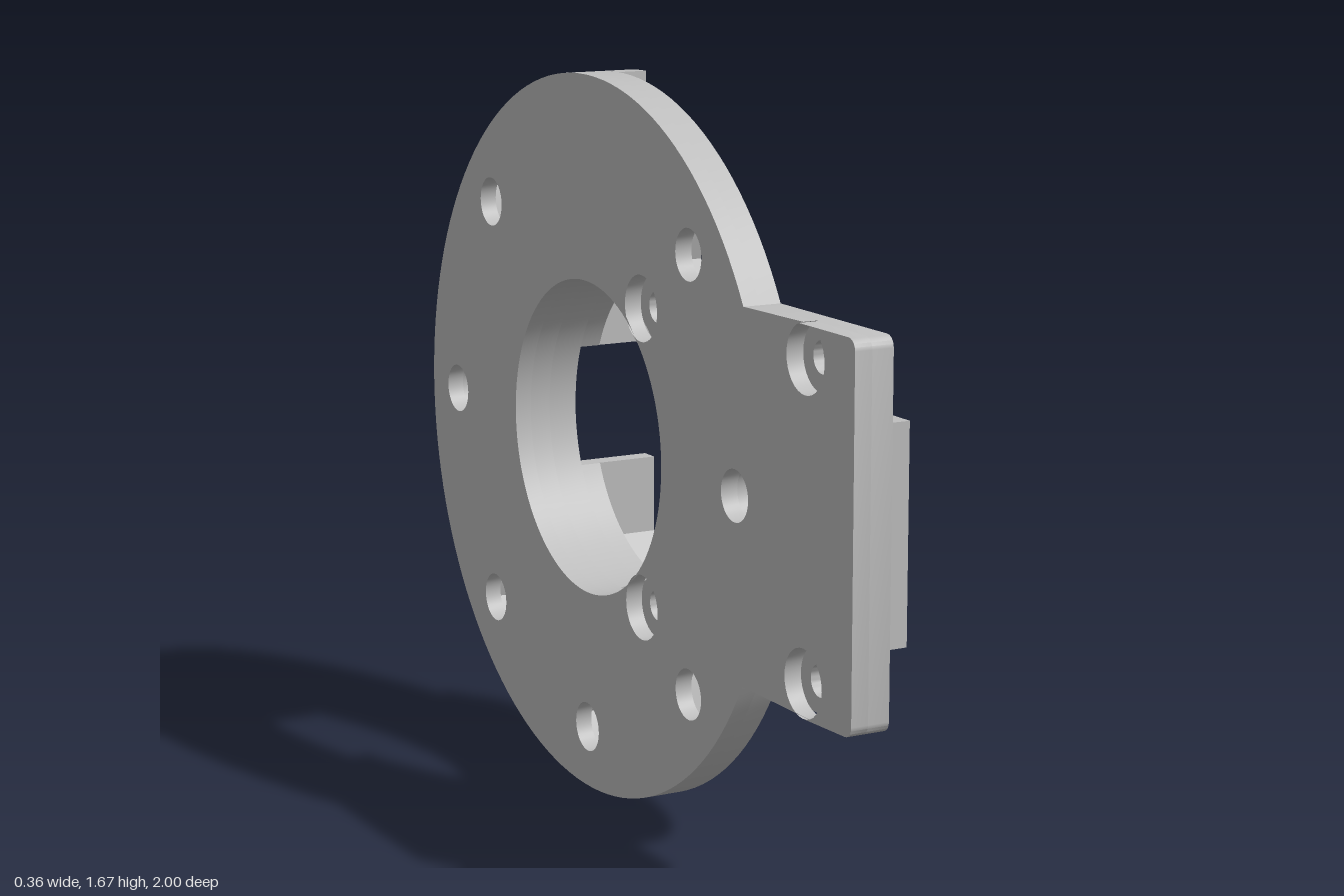
import * as THREE from 'three';
import { toCreasedNormals } from 'three/addons/utils/BufferGeometryUtils.js';

// Profiles are drawn around the ring centre: first axis points to the back (-z), second up.
const R = 0.833, BORE = 0.365, BOLT = 0.69, PIN = 0.058;
const rad = THREE.MathUtils.degToRad;
const V = (u, v) => new THREE.Vector2(u, v);

function arc(r, a0, a1, n, cu = 0, cv = 0) {
  const pts = [];
  for (let i = 0; i <= n; i++) {
    const a = rad(a0 + (a1 - a0) * i / n);
    pts.push(V(cu + r * Math.cos(a), cv + r * Math.sin(a)));
  }
  return pts;
}
const circle = (u, v, r, n = 32) => arc(r, 0, 360, n, u, v).slice(0, -1);
const polar = (deg) => [BOLT * Math.cos(rad(deg)), BOLT * Math.sin(rad(deg))];
const hexagon = (deg) => arc(0.11, deg + 90, deg + 450, 6, ...polar(deg)).slice(0, -1);

export function createModel() {
  const model = new THREE.Group();
  const grey = new THREE.MeshStandardMaterial({ color: 0xbfbfbf });
  grey.name = 'plain grey';

  // Extrudes a profile across the plate from x0 to x1
  function slab(name, outline, holes, x0, x1) {
    const shape = new THREE.Shape(outline);
    for (const h of holes) shape.holes.push(new THREE.Path(h));
    let geo = new THREE.ExtrudeGeometry(shape, { depth: x1 - x0, bevelEnabled: false });
    geo.translate(0, 0, x0);
    geo.rotateY(Math.PI / 2);
    geo = toCreasedNormals(geo, 0.5);
    const mesh = new THREE.Mesh(geo, grey);
    mesh.name = name;
    mesh.position.set(0, R, -0.167);
    model.add(mesh);
  }

  // Round flange with a rectangular mounting tab
  const TAB = 0.41, FRONT = -1.167, C = 0.025;
  const join = 180 - THREE.MathUtils.radToDeg(Math.asin(TAB / R));
  const plate = [
    ...arc(R, -join, join, 112),
    ...arc(C, 90, 180, 5, FRONT + C, TAB - C),
    ...arc(C, 180, 270, 5, FRONT + C, -TAB + C),
  ];
  const bore = circle(0, 0, BORE, 96);
  const nutAngles = [45, 135, 225, 270, 315];
  const pinHoles = [0, 180].map((a) => circle(...polar(a), PIN));
  const screws = [-0.977, -0.272].flatMap((u) => [[u, 0.34], [u, -0.34]]);

  slab('backPlate', plate, [
    bore, ...pinHoles,
    ...nutAngles.map((a) => circle(...polar(a), PIN)),
    ...screws.map(([u, v]) => circle(u, v, 0.075)),
  ], -0.18, -0.14);

  slab('frontPlate', plate, [
    bore, ...pinHoles,
    ...nutAngles.map(hexagon),
    ...screws.map(([u, v]) => circle(u, v, 0.035)),
  ], -0.14, -0.09);

  // Thicker rear half of the flange, notched by the lowest nut pocket
  const flat = 0.11 * Math.sqrt(3) / 2;
  slab('raisedHalfRing', [
    ...arc(R, 90, -90, 80),
    V(0, -BOLT - flat), V(0.055, -BOLT - flat), V(0.11, -BOLT),
    V(0.055, -BOLT + flat), V(0, -BOLT + flat),
    ...arc(BORE, -90, 90, 48),
  ], [circle(BOLT, 0, PIN), hexagon(45), hexagon(315)], -0.09, -0.02);

  // Raised strip along the tab, ending at the bore
  const S = 0.234;
  const end = 180 - THREE.MathUtils.radToDeg(Math.asin(S / BORE));
  slab('raisedStrip', [
    V(FRONT, S), V(FRONT, -S), ...arc(BORE, 360 - end, end, 24),
  ], [circle(-BOLT, 0, PIN)], -0.09, -0.05);

  // Mirrored corner brackets: a ledge around the bore and a bent wall
  const start = THREE.MathUtils.radToDeg(Math.asin(0.145 / BORE));
  const outer = [V(0, 0.461), V(0.248, 0.461), V(0.384, 0.325), V(0.384, 0.145)];
  const inner = [V(0.338, 0.145), V(0.338, 0.33), V(0.252, 0.416), V(0, 0.416)];
  for (const [side, s] of [['upper', 1], ['lower', -1]]) {
    const flip = (pts) => pts.map((p) => V(p.x, p.y * s));
    slab(side + 'BracketLedge', flip([...outer, ...arc(BORE, start, 90, 24)]), [], -0.02, 0.03);
    slab(side + 'BracketWall', flip([...outer, ...inner]), [], 0.03, 0.18);
  }
  return model;
}
